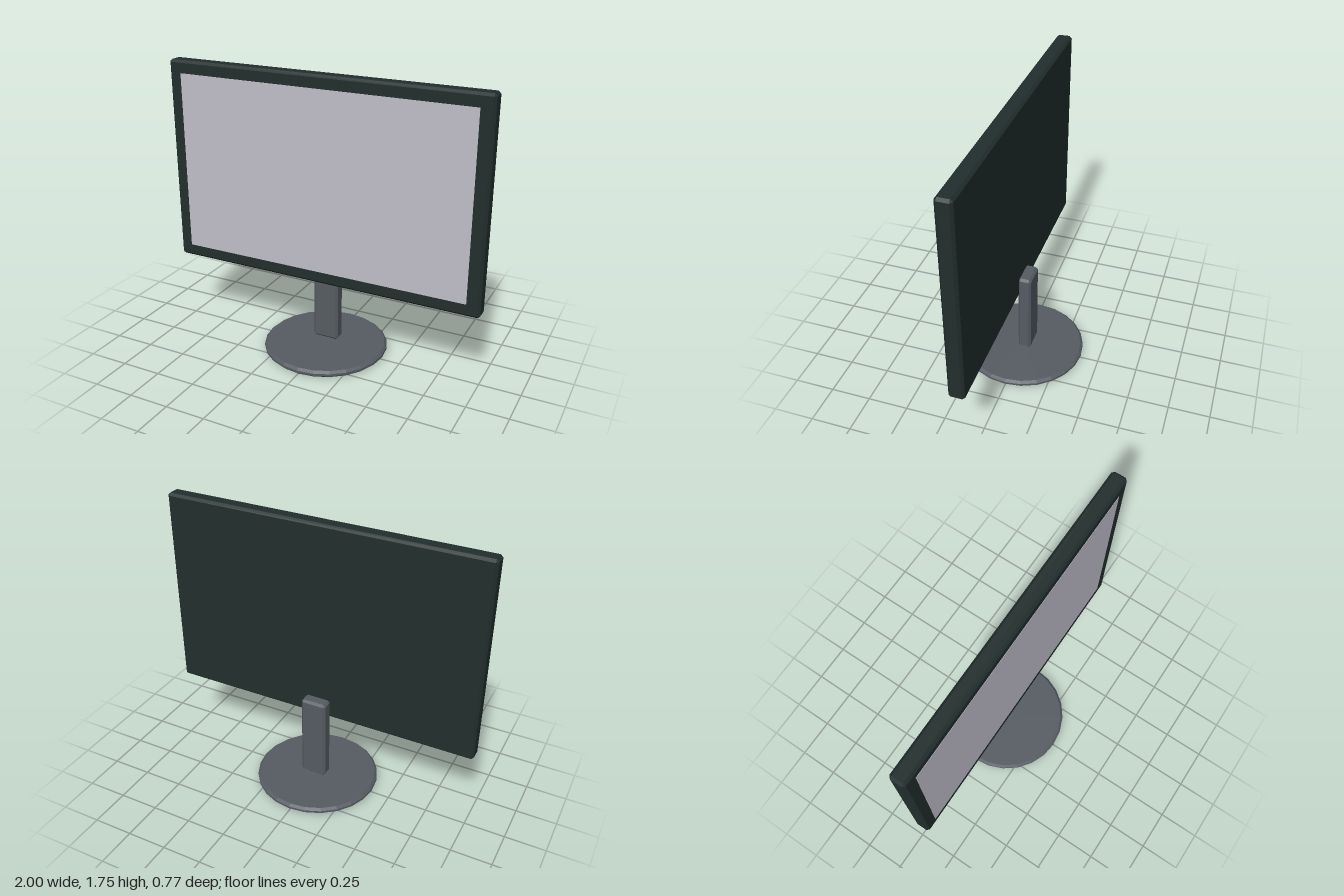
import * as THREE from 'three';
import { ConvexGeometry } from 'three/addons/geometries/ConvexGeometry.js';

function material(name, color) {
  const m = new THREE.MeshStandardMaterial({ color, flatShading: true });
  m.name = name;
  return m;
}

// Box with every edge and corner cut flat: each corner gives one point per face
function chamferedBox(w, h, d, c) {
  const points = [];
  for (const sx of [-1, 1]) for (const sy of [-1, 1]) for (const sz of [-1, 1]) {
    for (let axis = 0; axis < 3; axis++) {
      const [x, y, z] = [w, h, d].map((size, i) => size / 2 - (i === axis ? 0 : c));
      points.push(new THREE.Vector3(sx * x, sy * y, sz * z));
    }
  }
  return new ConvexGeometry(points);
}

export function createModel() {
  const model = new THREE.Group();
  model.name = 'monitor';

  const casing = material('dark casing', 0x212e2d);
  const stand = material('grey stand', 0x565c63);
  const glass = material('pale screen', 0xc0bfca);

  const add = (name, geometry, mat, x, y, z) => {
    const mesh = new THREE.Mesh(geometry, mat);
    mesh.name = name;
    mesh.position.set(x, y, z);
    model.add(mesh);
  };

  // Display slab and its thin screen plate
  add('displayCasing', chamferedBox(2, 1.27, 0.096, 0.015), casing, 0, 1.115, 0.054);
  add('screen', new THREE.BoxGeometry(1.84, 1.115, 0.004), glass, 0, 1.115, 0.102);

  // Upright post behind the slab
  add('post', chamferedBox(0.164, 0.55, 0.082, 0.014), stand, 0, 0.335, -0.028);

  // Round base with chamfered rims
  const profile = [[0, 0], [0.371, 0], [0.386, 0.014], [0.386, 0.028], [0.371, 0.042], [0, 0.042]]
    .map(([r, y]) => new THREE.Vector2(r, y));
  add('base', new THREE.LatheGeometry(profile, 24), stand, 0, 0, 0);

  return model;
}
